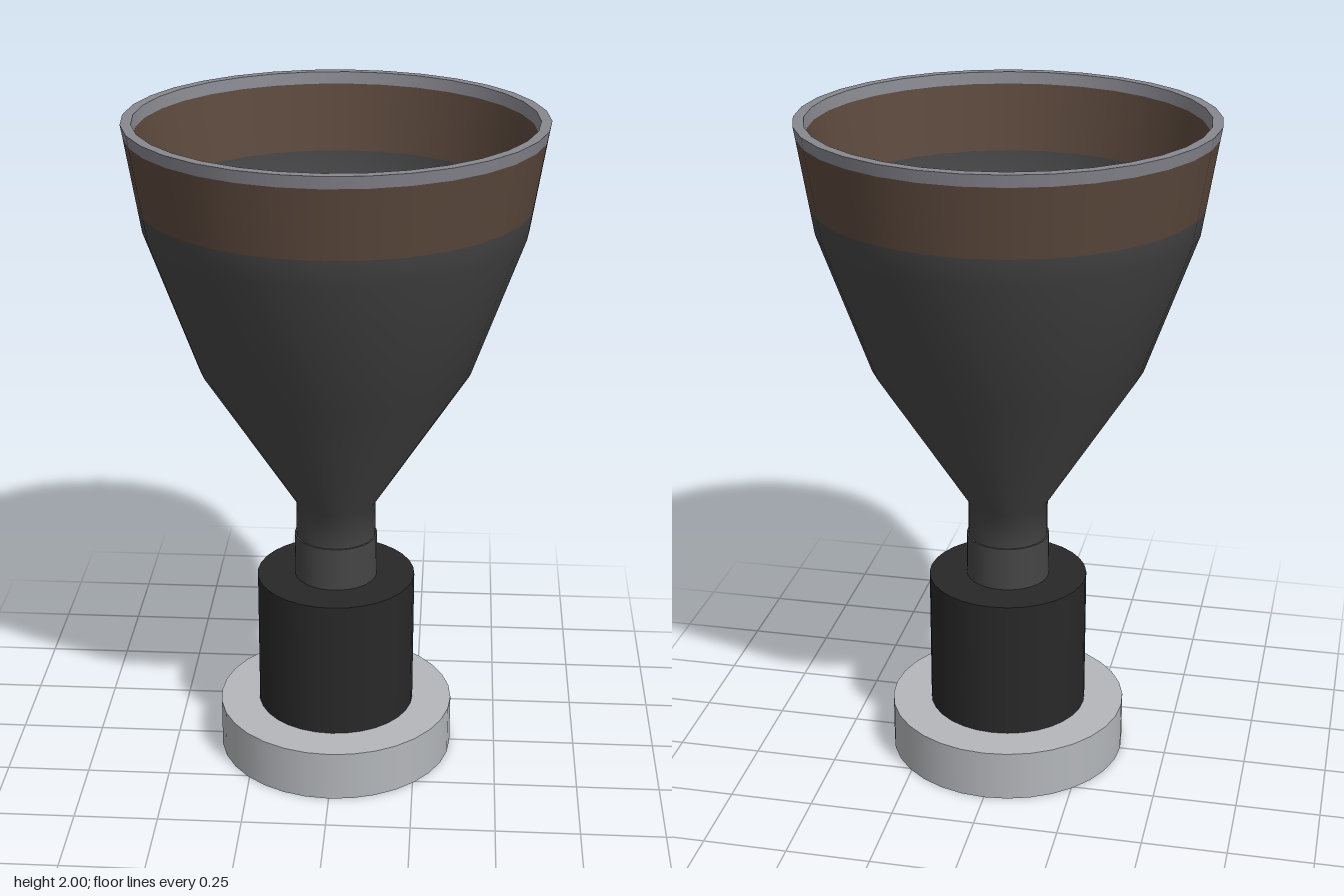
import * as THREE from 'three';

const SEGMENTS = 32;

function material(name, color) {
  const m = new THREE.MeshStandardMaterial({ color });
  m.name = name;
  return m;
}

export function createModel() {
  const group = new THREE.Group();
  group.name = 'goblet';

  const charcoal = material('charcoal', 0x454545);
  const black = material('black', 0x282828);
  const brown = material('brown', 0x5c493d);
  const steel = material('steel', 0x87878f);
  const silver = material('silver', 0xb4b7bb);

  const add = (name, geometry, mat) => {
    const mesh = new THREE.Mesh(geometry, mat);
    mesh.name = name;
    group.add(mesh);
    return mesh;
  };
  const cylinder = (name, radius, bottom, top, mat) => {
    const g = new THREE.CylinderGeometry(radius, radius, top - bottom, SEGMENTS);
    add(name, g, mat).position.y = (bottom + top) / 2;
  };
  // Profiles run upward on outer walls and downward on inner walls
  const lathe = (name, profile, mat) => add(name,
    new THREE.LatheGeometry(profile.map(([r, y]) => new THREE.Vector2(r, y)), SEGMENTS), mat);

  // Foot, collar and stem
  cylinder('foot', 0.36, 0, 0.155, silver);
  cylinder('collar', 0.24, 0.155, 0.585, black);
  cylinder('stem', 0.125, 0.585, 0.72, charcoal);

  // Bowl walls
  lathe('bowlOutside', [[0.12, 0.7], [0.12, 0.83], [0.4, 1.27], [0.55, 1.69], [0.562, 1.765]], charcoal);
  lathe('bowlInside', [[0.532, 1.765], [0.52, 1.69], [0.37, 1.27], [0.108, 0.84], [0.108, 0.7]], charcoal);

  // Brown band below the lip
  lathe('bandOutside', [[0.562, 1.765], [0.594, 1.965]], brown);
  lathe('bandInside', [[0.564, 1.965], [0.532, 1.765]], brown);

  // Metal lip
  lathe('lipOutside', [[0.594, 1.965], [0.6, 2]], steel);
  lathe('lipTop', [[0.6, 2], [0.57, 2]], steel);
  lathe('lipInside', [[0.57, 2], [0.564, 1.965]], steel);

  return group;
}
